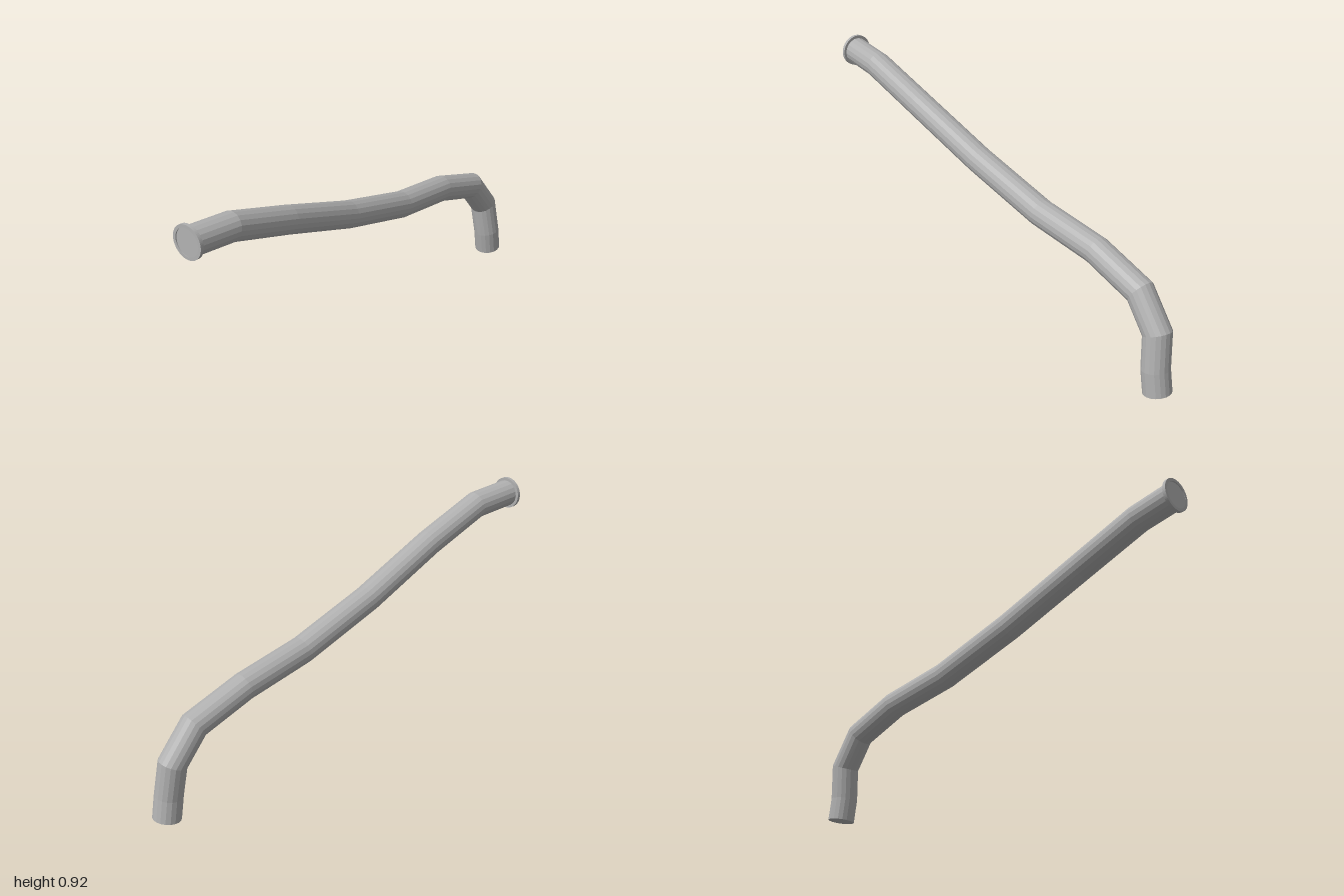
import * as THREE from 'three';

const RADIUS = 0.0575;
const SIDES = 18;

// Mitred sweep of a round section along straight segments, closed by flat caps
function sweptPipe(points, startDir, endDir) {
  const n = points.length;
  const dirs = points.slice(1).map((p, i) => p.clone().sub(points[i]).normalize());
  const positions = [], index = [];
  let side = new THREE.Vector3(1, 0, 0);
  points.forEach((p, i) => {
    const before = i === 0 ? startDir : dirs[i - 1];
    const after = i === n - 1 ? endDir : dirs[i];
    const tangent = before.clone().add(after).normalize();
    side = side.clone().addScaledVector(tangent, -side.dot(tangent)).normalize();
    const up = tangent.clone().cross(side);
    // widen the section in the bend plane so the segments keep their width
    const bend = after.clone().sub(before);
    bend.addScaledVector(tangent, -bend.dot(tangent));
    const inner = i > 0 && i < n - 1 && bend.length() > 1e-4;
    if (inner) bend.normalize();
    const stretch = inner ? 1 / before.dot(tangent) - 1 : 0;
    for (let k = 0; k < SIDES; k++) {
      const a = (k / SIDES) * Math.PI * 2;
      const r = side.clone().multiplyScalar(RADIUS * Math.cos(a))
        .addScaledVector(up, RADIUS * Math.sin(a));
      if (inner) r.addScaledVector(bend, r.dot(bend) * stretch);
      positions.push(...r.add(p).toArray());
    }
  });
  for (let i = 0; i < n - 1; i++) {
    for (let k = 0; k < SIDES; k++) {
      const a = i * SIDES + k, b = i * SIDES + (k + 1) % SIDES;
      index.push(a, b, b + SIDES, a, b + SIDES, a + SIDES);
    }
  }
  const last = (n - 1) * SIDES;
  for (let k = 1; k < SIDES - 1; k++) {
    index.push(0, k + 1, k, last, last + k, last + k + 1);
  }
  const geometry = new THREE.BufferGeometry();
  geometry.setAttribute('position', new THREE.Float32BufferAttribute(positions, 3));
  geometry.setIndex(index);
  const flat = geometry.toNonIndexed();
  flat.computeVertexNormals();
  return flat;
}

export function createModel() {
  const group = new THREE.Group();
  group.name = 'bentPipe';
  const metal = new THREE.MeshStandardMaterial({ color: 0xb0b0b0 });
  metal.name = 'grey metal';
  metal.flatShading = true;

  // Centre line from the flanged front end down to the open foot
  const path = [
    [0.01, 0.848, 0.997], [0.025, 0.835, 0.8], [0.02, 0.74, 0.5],
    [0.0, 0.605, 0.12], [-0.014, 0.5, -0.255], [-0.027, 0.455, -0.565],
    [-0.026, 0.38, -0.805], [-0.02, 0.25, -0.91], [-0.004, 0.108, -0.927],
    [-0.004, 0.01, -0.943],
  ].map((p) => new THREE.Vector3(...p));
  const pipe = new THREE.Mesh(
    sweptPipe(path, new THREE.Vector3(0, 0, -1), new THREE.Vector3(0, -0.986, -0.165)), metal);
  pipe.name = 'pipe';
  group.add(pipe);

  // Flange ring around the front end
  const ring = new THREE.Shape().absarc(0, 0, 0.0685, 0, Math.PI * 2);
  ring.holes.push(new THREE.Path().absarc(0, 0, 0.056, 0, Math.PI * 2, true));
  const flange = new THREE.Mesh(
    new THREE.ExtrudeGeometry(ring, { depth: 0.014, bevelEnabled: false, curveSegments: 36 }), metal);
  flange.name = 'flange';
  flange.position.set(0.01, 0.848, 0.986);
  group.add(flange);

  return group;
}
